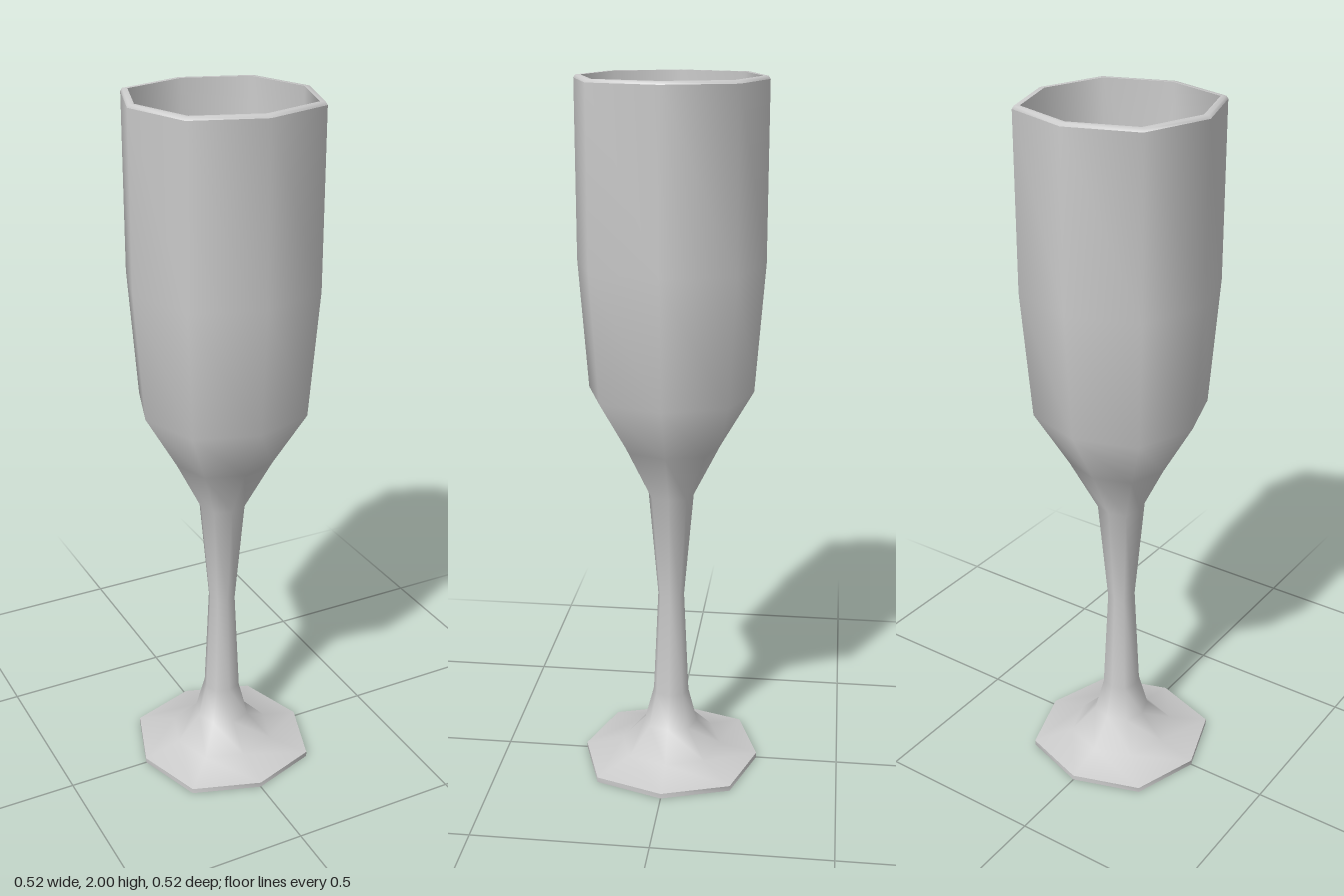
import * as THREE from 'three';
import { mergeVertices } from 'three/addons/utils/BufferGeometryUtils.js';

const SIDES = 8;
const DIAGONAL = 1.06; // the diagonal corners reach a little further out
const material = new THREE.MeshStandardMaterial({ color: 0xcccccc });

// Turns an eight-sided smooth surface from [radius, height] points.
function turned(name, profile) {
  let geo = new THREE.LatheGeometry(profile.map(([r, y]) => new THREE.Vector2(r, y)), SIDES);
  const pos = geo.attributes.position;
  for (let i = 0; i < pos.count; i++) {
    const corner = Math.floor(i / profile.length);
    const k = corner % 2 ? DIAGONAL : 1;
    pos.setXYZ(i, pos.getX(i) * k, pos.getY(i), pos.getZ(i) * k);
  }
  // Weld the seam so the shading runs smoothly round
  geo.deleteAttribute('uv');
  geo.deleteAttribute('normal');
  geo = mergeVertices(geo, 1e-5);
  geo.computeVertexNormals();
  const mesh = new THREE.Mesh(geo, material);
  mesh.name = name;
  return mesh;
}

export function createModel() {
  const glass = new THREE.Group();
  glass.name = 'champagneFlute';
  glass.add(
    // Flat underside and thin edge of the foot
    turned('footUnderside', [[0, 0], [0.259, 0]]),
    turned('footEdge', [[0.259, 0], [0.259, 0.015]]),
    // Foot, stem and bowl flow into one another
    turned('footStemAndBowl', [
      [0.259, 0.015], [0.148, 0.043], [0.078, 0.117], [0.052, 0.218],
      [0.038, 0.53], [0.065, 0.84], [0.14, 0.99], [0.232, 1.15],
      [0.259, 1.51], [0.259, 1.992],
    ]),
    // Slightly softened lip
    turned('rim', [[0.259, 1.992], [0.254, 2], [0.24, 2]]),
    // Hollow of the bowl
    turned('bowlInside', [
      [0.24, 2], [0.24, 1.51], [0.214, 1.16], [0.122, 1.0], [0.045, 0.87], [0, 0.86],
    ]),
  );
  return glass;
}
